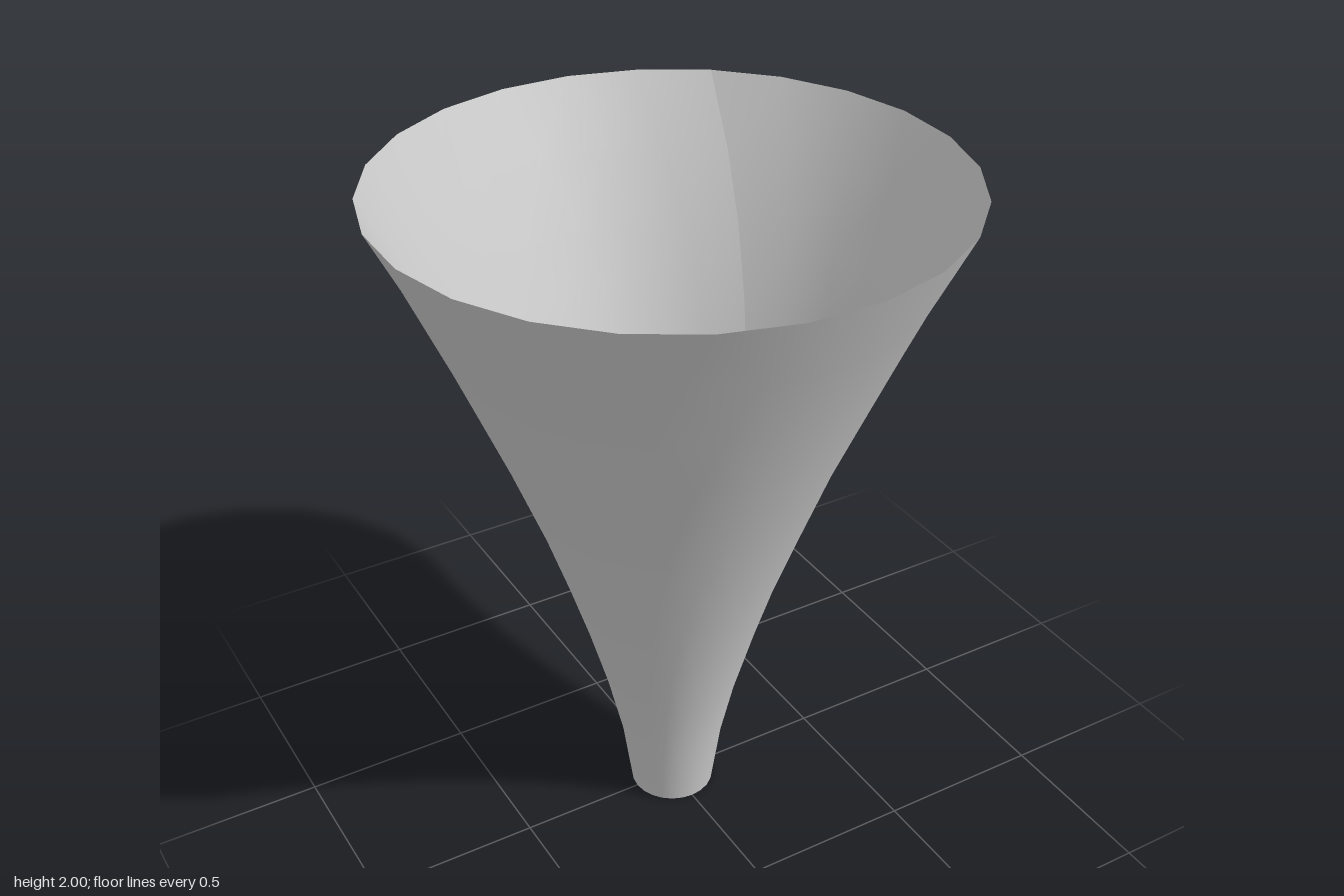
import * as THREE from 'three';
import { ParametricGeometry } from 'three/addons/geometries/ParametricGeometry.js';

const SIDES = 24;
const RINGS = 10;
const TWIST = 0.9; // radians from the foot to the rim

export function createModel() {
  const group = new THREE.Group();
  group.name = 'twistedFunnel';

  // open flared wall: the radius grows by a power curve while each ring turns further
  const wall = (u, v, target) => {
    const radius = 0.125 + 0.675 * Math.pow(v, 1.4);
    const angle = u * Math.PI * 2 + v * TWIST;
    target.set(radius * Math.cos(angle), 2 * v, -radius * Math.sin(angle));
  };
  const geometry = new ParametricGeometry(wall, SIDES, RINGS);
  geometry.computeVertexNormals(); // smooth, with a visible seam along the twist

  const funnel = new THREE.Mesh(
    geometry,
    new THREE.MeshStandardMaterial({ color: 0xcccccc, side: THREE.DoubleSide })
  );
  funnel.name = 'funnelWall';
  group.add(funnel);
  return group;
}
